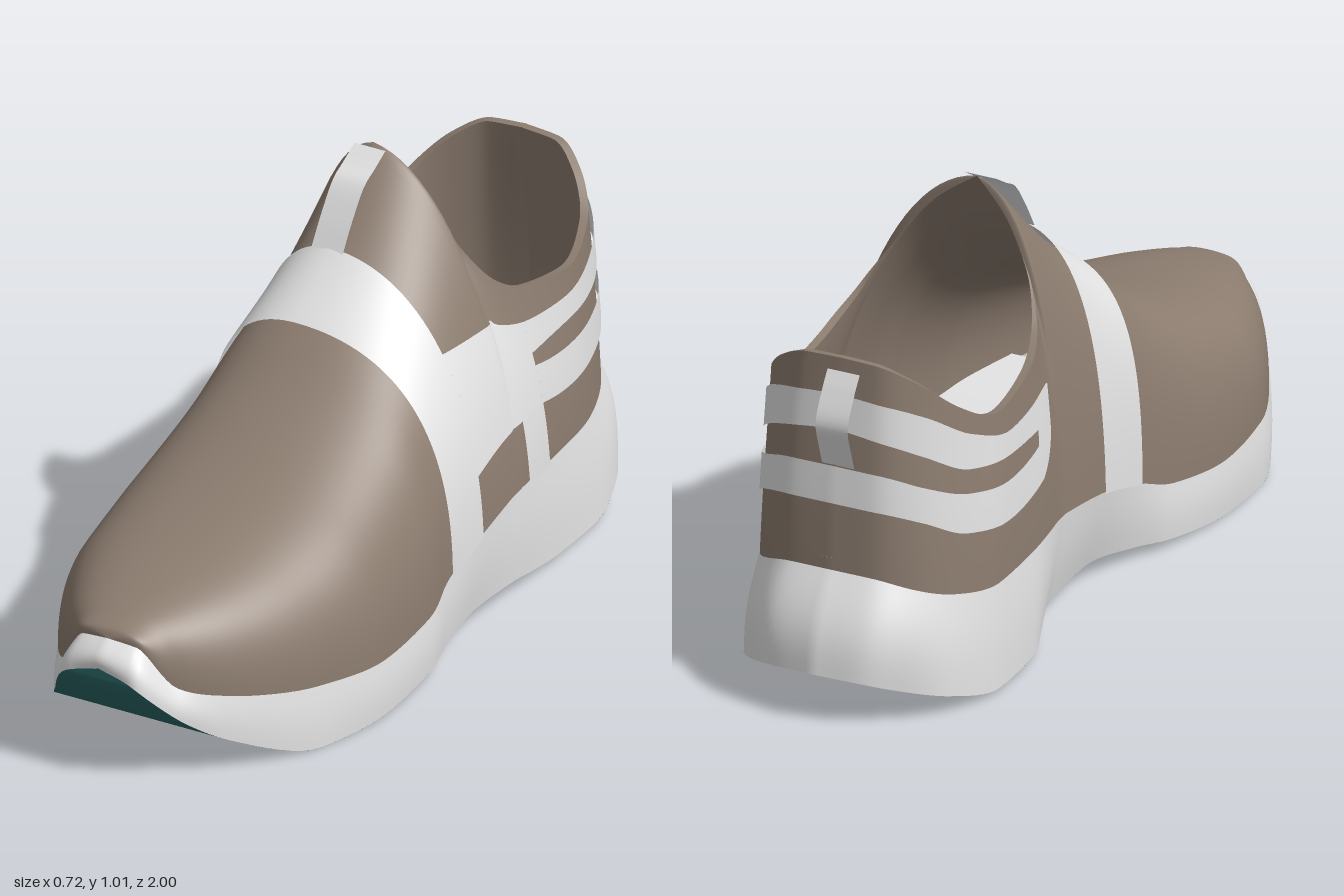
import * as THREE from 'three';
import { mergeGeometries, mergeVertices } from 'three/addons/utils/BufferGeometryUtils.js';

// Stations run from the toe (0) to the middle of the heel (18): [z, y, x of +x side, x of -x side]
const HEM = [ // line where the upper meets the midsole
  [.965, .335, 0, 0], [.955, .325, .07, -.07], [.9, .222, .142, -.15], [.8, .184, .222, -.232],
  [.6, .15, .315, -.325], [.4, .14, .357, -.345], [.2, .16, .35, -.325], [.08, .2, .325, -.305],
  [-.07, .235, .31, -.295], [-.25, .257, .285, -.3], [-.27, .258, .283, -.303], [-.3, .26, .28, -.308],
  [-.36, .26, .27, -.32], [-.46, .258, .255, -.335], [-.64, .255, .222, -.347], [-.78, .275, .172, -.31],
  [-.86, .305, .11, -.25], [-.9, .33, .03, -.17], [-.91, .335, -.07, -.07]];
const RIM = [ // ridge of the vamp up to the throat, then the collar edge
  [.965, .335, 0, 0], [.955, .352, 0, 0], [.9, .374, 0, 0], [.8, .402, 0, 0],
  [.6, .45, 0, 0], [.4, .52, -.01, -.01], [.2, .625, -.04, -.04], [.08, .715, -.07, -.07],
  [-.07, .835, -.075, -.075], [-.25, 1.02, -.08, -.08], [-.256, .94, .03, -.155], [-.268, .83, .115, -.215],
  [-.315, .735, .175, -.265], [-.42, .675, .2, -.305], [-.6, .645, .2, -.325], [-.73, .7, .17, -.3],
  [-.81, .775, .1, -.235], [-.85, .815, .02, -.155], [-.855, .82, -.07, -.07]];
const SOLE = [ // bottom edge of the sole
  [1, .275, 0, 0], [1, .25, .085, -.085], [.9, .14, .167, -.177], [.8, .075, .235, -.24],
  [.6, .005, .325, -.33], [.4, .01, .36, -.345], [.2, .028, .35, -.325], [.08, .042, .32, -.285],
  [-.07, .055, .295, -.255], [-.25, .045, .28, -.265], [-.28, .042, .278, -.27], [-.32, .036, .275, -.285],
  [-.38, .028, .27, -.31], [-.48, .018, .26, -.345], [-.66, .015, .24, -.36], [-.82, .05, .19, -.325],
  [-.92, .085, .115, -.25], [-.977, .11, .04, -.18], [-1, .12, -.075, -.075]];
// How level each station arrives at the rim
const ROUND = [1, 1, 1, 1, 1, 1, 1, 1, 1, .9, .35, .15, .05, 0, 0, 0, 0, 0, 0];
const { lerp, smoothstep } = THREE.MathUtils;

// Smooth interpolation of a list without overshoot
function sample(list, u) {
  const n = list.length - 1;
  const i = Math.min(n - 1, Math.max(0, Math.floor(u))), f = u - i;
  const step = k => list[k + 1] - list[k];
  const slope = k => {
    if (k === 0) return step(0);
    if (k === n) return step(n - 1);
    const a = step(k - 1), b = step(k);
    return a * b <= 0 ? 0 : 2 * a * b / (a + b);
  };
  const f2 = f * f, f3 = f2 * f;
  return list[i] * (2 * f3 - 3 * f2 + 1) + slope(i) * (f3 - 2 * f2 + f)
    + list[i + 1] * (3 * f2 - 2 * f3) + slope(i + 1) * (f3 - f2);
}
const columns = table => [0, 1, 2, 3].map(c => table.map(row => row[c]));
const hemCols = columns(HEM), rimCols = columns(RIM), soleCols = columns(SOLE);
const at = (cols, side, u) => new THREE.Vector3(
  sample(cols[side > 0 ? 2 : 3], u), sample(cols[1], u), sample(cols[0], u));
const hem = (side, u) => at(hemCols, side, u);
const sole = (side, u) => at(soleCols, side, u);

// Upper: each station is a curve rising from the hem (t = 0) to the rim (t = 1)
function upperPoint(side, u, t) {
  const a = hem(side, u), d = at(rimCols, side, u), h = d.y - a.y;
  const r = sample(ROUND, u), forefoot = smoothstep(a.z, -.25, .15);
  const low = .05 - .06 * forefoot;
  const high = .45 + .1 * r + .11 * forefoot + (side < 0 ? .13 * r : 0);
  const b = new THREE.Vector3(lerp(a.x, d.x, low), a.y + (.45 + .24 * forefoot) * h, lerp(a.z, d.z, .33));
  const c = new THREE.Vector3(lerp(d.x, a.x, high), d.y - .33 * (1 - r) * h, lerp(d.z, a.z, .33));
  return new THREE.CubicBezierCurve3(a, b, c, d).getPoint(t);
}
function upper(side, u, t, offset = 0) {
  const p = upperPoint(side, u, t);
  if (!offset) return p;
  const e = .005, u0 = Math.max(0, u - e), u1 = Math.min(18, u + e);
  const t0 = Math.max(0, t - e), t1 = Math.min(1, t + e);
  const du = upperPoint(side, u1, t).sub(upperPoint(side, u0, t));
  const dt = upperPoint(side, u, t1).sub(upperPoint(side, u, t0));
  const normal = du.cross(dt);
  if (u === 18 || (t === 1 && u <= 9)) normal.x = 0; // the halves meet here
  return p.addScaledVector(normal.normalize(), side * offset);
}
// Point on the upper at a given height
function upperAtHeight(side, u, y, offset) {
  let lo = 0, hi = 1;
  for (let i = 0; i < 24; i++) {
    const m = (lo + hi) / 2;
    if (upperPoint(side, u, m).y < y) lo = m; else hi = m;
  }
  return upper(side, u, lo, offset);
}

// Grid of faces over point(u, v), u from u0 to u1 and v from 0 to 1
function patch(point, u0, u1, nu, nv, flip = false) {
  const pos = [], index = [];
  for (let i = 0; i <= nu; i++)
    for (let j = 0; j <= nv; j++) pos.push(...point(u0 + (u1 - u0) * i / nu, j / nv).toArray());
  for (let i = 0; i < nu; i++)
    for (let j = 0; j < nv; j++) {
      const a = i * (nv + 1) + j, b = a + nv + 1;
      if (flip) index.push(a, b + 1, b, a, a + 1, b + 1);
      else index.push(a, b, b + 1, a, b + 1, a + 1);
    }
  const g = new THREE.BufferGeometry();
  g.setAttribute('position', new THREE.Float32BufferAttribute(pos, 3));
  g.setIndex(index);
  return g;
}
const bothSides = make => [1, -1].map(make);

export function createModel() {
  const shoe = new THREE.Group();
  const paint = (name, color) => {
    const m = new THREE.MeshStandardMaterial({ color, side: THREE.DoubleSide });
    m.name = name;
    return m;
  };
  const fabric = paint('taupe fabric', 0x8d7d70);
  const white = paint('off white foam', 0xe4e4e4);
  const rubber = paint('teal rubber', 0x2c6868);

  const add = (name, material, patches) => {
    const g = mergeVertices(mergeGeometries(patches), 1e-4);
    g.computeVertexNormals();
    const mesh = new THREE.Mesh(g, material);
    mesh.name = name;
    shoe.add(mesh);
  };

  // Upper, and the padded lining and edge of the collar, which thin out at the throat
  const padding = u => -.018 * smoothstep(u, 10.5, 13);
  add('upper', fabric, bothSides(s => patch((u, v) => upper(s, u, v), 0, 18, 144, 24, s < 0)));
  add('collarLining', fabric, bothSides(s => patch((u, v) => upper(s, u, v, padding(u)), 10.5, 18, 60, 16, s > 0)));
  add('collarEdge', fabric, bothSides(s => patch((u, v) => upper(s, u, 1, v * padding(u)), 10.5, 18, 60, 1, s < 0)));

  // Insole
  add('insole', white, [patch((u, v) => {
    const p = hem(1, u).lerp(hem(-1, u), .03 + .94 * v);
    p.y += .03;
    return p;
  }, 4, 18, 98, 8)]);

  // Midsole wall, bulging at the toe and heel
  const wall = (s, u, v) => {
    const tangent = hem(s, Math.min(18, u + .05)).sub(hem(s, Math.max(0, u - .05)));
    if (u === 0 || u === 18) tangent.z = 0;
    const out = new THREE.Vector3(-tangent.z, 0, tangent.x).normalize();
    const bulge = .004 + .012 * (1 - smoothstep(u, 0, 3)) + .018 * smoothstep(u, 14, 17);
    return sole(s, u).lerp(hem(s, u), v).addScaledVector(out, s * bulge * Math.sin(Math.PI * v));
  };
  add('midsole', white, bothSides(s => patch((u, v) => wall(s, u, v), 0, 18, 144, 10, s < 0)));

  // Outsole around a hollow that runs from the arch to the heel
  const u0 = 6.2, u1 = 15.6;
  const hollow = u => u <= u0 || u >= u1 ? 0 : .7 * Math.sqrt(Math.sin(Math.PI * (u - u0) / (u1 - u0)));
  add('outsole', rubber, bothSides(s => patch((u, v) =>
    sole(s, u).lerp(sole(-s, u), v * (1 - hollow(u)) / 2), 0, 18, 180, 6, s > 0)));
  add('archHollow', white, [patch((u, v) => {
    const c = hollow(u);
    const p = sole(1, u).lerp(sole(-1, u), .5 + c * (v - .5));
    p.y += .14 * c * Math.sqrt(Math.max(0, Math.sin(Math.PI * v)));
    return p;
  }, u0, u1, 94, 16, true)]);

  // Strap over the instep
  const lift = .008;
  add('instepStrap', white, bothSides(s => patch((u, v) => upper(s, u, v, lift), 7, 8, 8, 30, s < 0)));

  // Overlays given by lower and upper heights along the side
  const band = (s, from, to, low, high) => patch((u, v) => {
    const k = (u - from) / (to - from);
    const lo = sample(low, k * (low.length - 1)), hi = sample(high, k * (high.length - 1));
    return upperAtHeight(s, u, lo + (hi - lo) * v, lift);
  }, from, to, 40, 6, s < 0);
  const fork = 12.65;
  add('sidePanel', white, [
    band(1, 8, fork, [.38, .405, .41, .41, .41, .41, .41], [.65, .65, .65, .63, .605]),
    band(1, 11.2, fork, [.25, .25], [.41, .41])]);
  add('innerStripeEnd', white, [
    band(-1, 12, fork, [.49, .44, .41], [.6, .605, .605]),
    band(-1, fork, 12.9, [.48, .48], [.55, .55])]);
  add('upperHeelStripe', white, bothSides(s => band(s, fork, 18,
    [.53, .535, .555, .61, .645, .66], [.605, .59, .635, .7, .73, .74])));
  add('lowerHeelStripe', white, bothSides(s => band(s, fork, 18,
    [.41, .39, .41, .46, .485, .49], [.5, .48, .5, .54, .57, .575])));

  // Pull tabs at the throat and the heel, points are [y, z]
  const ribbon = (name, points) => {
    const curve = new THREE.CatmullRomCurve3(points.map(([y, z]) => new THREE.Vector3(-.08, y, z)));
    add(name, white, [patch((u, v) => {
      const p = curve.getPoint(u);
      p.x += .08 * (v - .5);
      return p;
    }, 0, 1, 24, 2)]);
  };
  ribbon('throatTab', [[.835, -.06], [.9, -.1], [.965, -.15], [.988, -.19], [1.015, -.235]]);
  ribbon('heelTab', [[.79, -.86], [.75, -.885], [.68, -.915], [.62, -.9], [.575, -.885]]);

  return shoe;
}
